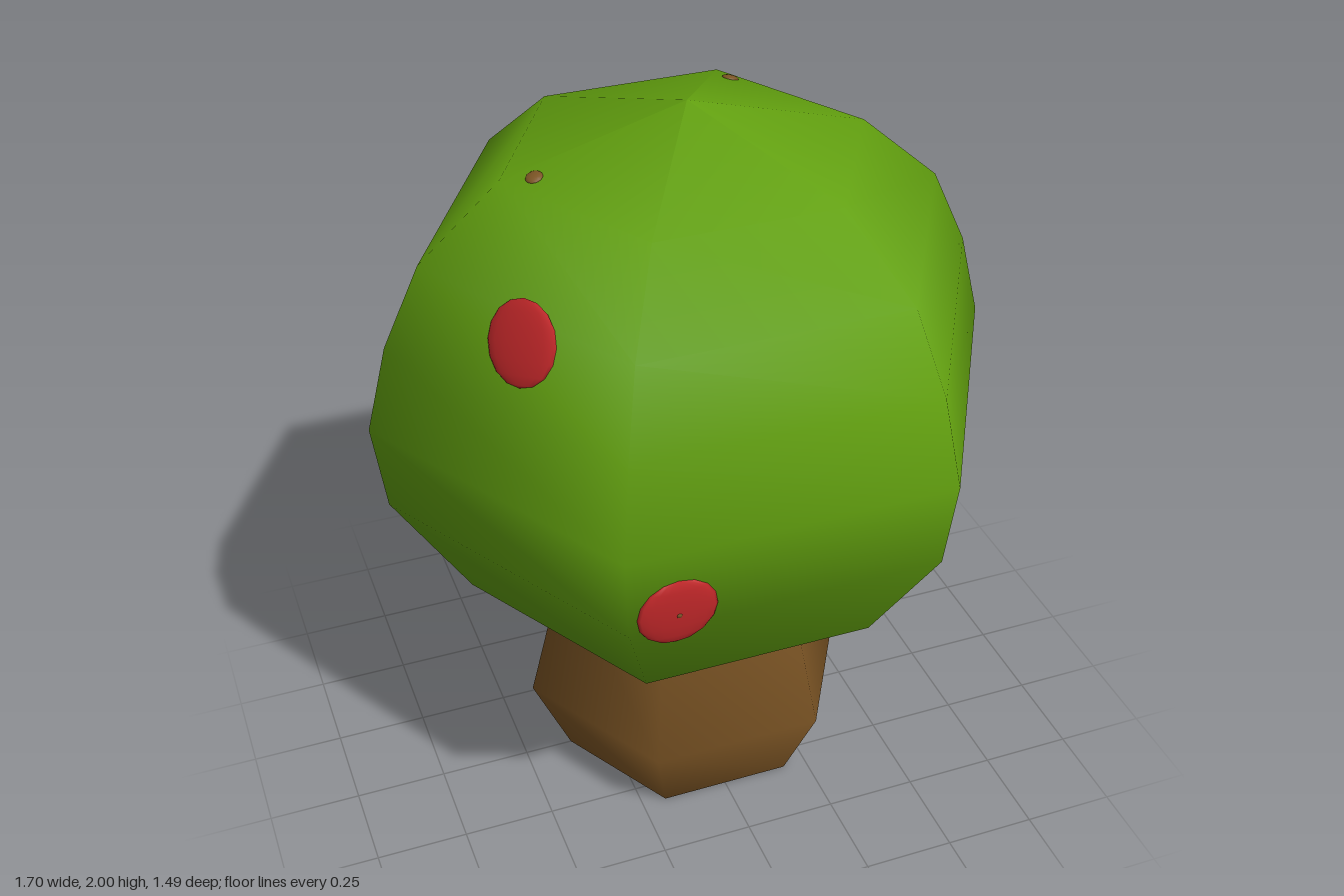
import * as THREE from 'three';

const SIDES = 6;
const canopyProfile = [[0.62, 0.675], [0.82, 1.0], [0.85, 1.24], [0.79, 1.47], [0.69, 1.68], [0.475, 1.87], [0, 2]];
const trunkProfile = [[0.365, 0.005], [0.47, 0.25], [0.362, 0.676], [0.345, 0.74]];

// Six-sided lathe with corners on the x axis
function hexLathe(profile, material, name) {
  const points = profile.map(([r, y]) => new THREE.Vector2(r, y));
  const mesh = new THREE.Mesh(new THREE.LatheGeometry(points, SIDES, Math.PI / 2), material);
  mesh.name = name;
  return mesh;
}

// Point and outward normal on a canopy side: face angle from +z toward +x, sideways offset, height
function onCanopy(degrees, offset, y) {
  const i = canopyProfile.findIndex((p, k) => k > 0 && y <= p[1]);
  const [r0, y0] = canopyProfile[i - 1];
  const [r1, y1] = canopyProfile[i];
  const apothem = Math.cos(Math.PI / SIDES) * (r0 + (r1 - r0) * (y - y0) / (y1 - y0));
  const slope = Math.cos(Math.PI / SIDES) * (r0 - r1) / (y1 - y0);
  const up = new THREE.Vector3(0, 1, 0);
  const angle = THREE.MathUtils.degToRad(degrees);
  return {
    position: new THREE.Vector3(offset, y, apothem).applyAxisAngle(up, angle),
    normal: new THREE.Vector3(0, slope, 1).normalize().applyAxisAngle(up, angle),
  };
}

// Flat dome lying on a surface
function dome(radius, height, place, material, name) {
  const mesh = new THREE.Mesh(new THREE.SphereGeometry(1, 16, 8), material);
  mesh.scale.set(radius, radius, height);
  mesh.position.copy(place.position);
  mesh.quaternion.setFromUnitVectors(new THREE.Vector3(0, 0, 1), place.normal);
  mesh.name = name;
  return mesh;
}

export function createModel() {
  const leaf = new THREE.MeshStandardMaterial({ name: 'leaf green', color: 0x62a00f });
  const bark = new THREE.MeshStandardMaterial({ name: 'bark brown', color: 0x7b5424 });
  const red = new THREE.MeshStandardMaterial({ name: 'fruit red', color: 0xc4282a });

  const model = new THREE.Group();
  model.name = 'fruitTree';

  // Trunk and its flat base
  model.add(hexLathe(trunkProfile, bark, 'trunk'));
  model.add(hexLathe([[0, 0.005], trunkProfile[0]], bark, 'trunkBase'));

  // Canopy and its flat underside
  model.add(hexLathe(canopyProfile, leaf, 'canopy'));
  model.add(hexLathe([[0, 0.675], canopyProfile[0]], leaf, 'canopyUnderside'));

  // Fruit: face angle, sideways offset, height, radius, stem visible
  const fruits = [
    [-60, 0.02, 1.62, 0.105, false],
    [0, -0.29, 1.05, 0.102, true],
    [60, 0.26, 1.05, 0.1, true],
    [120, -0.03, 1.62, 0.105, true],
    [180, -0.105, 1.25, 0.075, false],
    [240, 0.095, 1.25, 0.075, false],
  ];
  for (const [degrees, offset, y, radius, hasStem] of fruits) {
    const place = onCanopy(degrees, offset, y);
    model.add(dome(radius, 0.015, place, red, 'fruit'));
    if (hasStem) model.add(dome(0.013, 0.018, place, bark, 'fruitStem'));
  }

  // Stem tips poking through the crown
  for (const [x, z, turn] of [[0.24, -0.32, 120], [-0.4, 0.04, -60]]) {
    const position = new THREE.Vector3(x, 1.884, z);
    const { normal } = onCanopy(turn, 0, 1.9);
    model.add(dome(0.022, 0.008, { position, normal }, bark, 'stemTip'));
  }
  return model;
}
